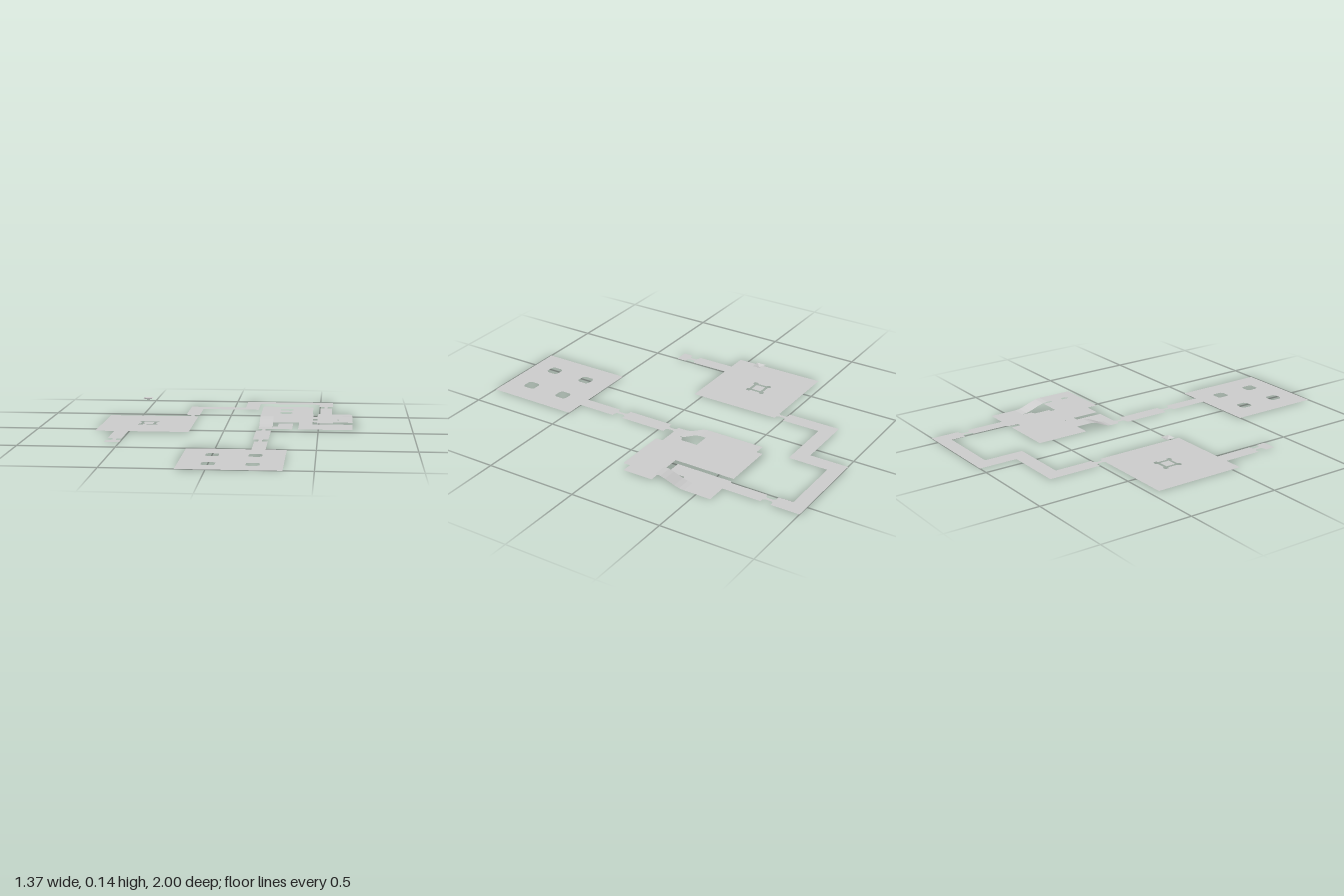
import * as THREE from 'three';

const material = new THREE.MeshStandardMaterial({ color: 0xcccccc, side: THREE.DoubleSide, flatShading: true });

// Outlines are lists of [x, z] points
const toPoints = (pts) => pts.map(([x, z]) => new THREE.Vector2(x, -z));
const rect = (x0, z0, x1, z1) => [[x0, z0], [x1, z0], [x1, z1], [x0, z1]];

// Rectangle with cut corners
function cutRect(cx, cz, w, d, c = 0.012) {
  const a = w / 2, b = d / 2;
  return [[-a + c, -b], [a - c, -b], [a, -b + c], [a, b - c], [a - c, b], [-a + c, b], [-a, b - c], [-a, -b + c]]
    .map(([x, z]) => [cx + x, cz + z]);
}

export function createModel() {
  const model = new THREE.Group();

  const add = (name, geometry) => {
    const mesh = new THREE.Mesh(geometry, material);
    mesh.name = name;
    model.add(mesh);
    return mesh;
  };

  // Flat floor sheet at height y, with optional holes
  const sheet = (name, outline, y = 0, holes = []) => {
    const shape = new THREE.Shape(toPoints(outline));
    holes.forEach((h) => shape.holes.push(new THREE.Path(toPoints(h))));
    const geometry = new THREE.ShapeGeometry(shape);
    geometry.rotateX(-Math.PI / 2).translate(0, y, 0);
    return add(name, geometry);
  };

  // Narrow doorway neck, flared at both ends
  const neck = (name, x, z0, z1) => {
    const n = 0.009, w = 0.019, f = 0.01;
    sheet(name, [[x - w, z0], [x + w, z0], [x + n, z0 + f], [x + n, z1 - f],
      [x + w, z1], [x - w, z1], [x - n, z1 - f], [x - n, z0 + f]]);
  };

  // Front room with four pillar holes
  const pillars = [];
  for (const x of [0, 0.21]) for (const z of [0.65, 0.865]) pillars.push(cutRect(x, z, 0.066, 0.07));
  sheet('frontRoom', rect(-0.145, 0.5, 0.355, 1), 0, pillars);
  sheet('frontCorridor', rect(0.18, 0.29, 0.25, 0.5));
  neck('frontNeck', 0.21, 0.23, 0.29);
  sheet('middleCorridor', rect(0.17, -0.03, 0.25, 0.23));
  neck('middleNeck', 0.21, -0.08, -0.03);

  // Side room with a notched hole, an island in it and a small cap above
  const cx = -0.432, cz = -0.21;
  const notched = [];
  for (let i = 0; i < 4; i++) {
    const c = Math.round(Math.cos(i * Math.PI / 2)), s = Math.round(Math.sin(i * Math.PI / 2));
    for (const [x, z] of [[0.042, 0.025], [0.053, 0.032], [0.053, 0.048], [0.048, 0.053], [0.032, 0.053], [0.025, 0.042]])
      notched.push([cx + c * x - s * z, cz + s * x + c * z]);
  }
  sheet('sideRoom', rect(-0.683, -0.45, -0.183, 0.05), 0, [notched]);
  sheet('island', rect(cx - 0.027, cz - 0.027, cx + 0.027, cz + 0.027));
  const cap = new THREE.ConeGeometry(0.025 * Math.SQRT2, 0.009, 4, 1, true);
  cap.rotateY(Math.PI / 4).rotateX(Math.PI).translate(cx, 0.135, cz);
  add('floatingCap', cap);
  sheet('sideCorridor', rect(-0.58, 0.05, -0.507, 0.26));
  neck('sideNeck', -0.54, 0.26, 0.31);
  sheet('sideLanding', rect(-0.58, 0.31, -0.503, 0.365));

  // Winding back corridor
  neck('backLeftNeck', -0.217, -0.5, -0.45);
  sheet('backCorridor', [[-0.257, -0.5], [-0.257, -0.79], [0.063, -0.79], [0.063, -1], [0.573, -1], [0.573, -0.845],
    [0.493, -0.845], [0.493, -0.925], [0.143, -0.925], [0.143, -0.71], [-0.18, -0.71], [-0.18, -0.5]]);
  neck('backRightNeck', 0.534, -0.845, -0.79);

  // Lower floors of the two-level room
  sheet('lowerBackFloor', [[0.503, -0.79], [0.57, -0.79], [0.57, -0.58], [0.683, -0.58], [0.683, -0.43], [0.603, -0.43],
    [0.6, -0.375], [0.577, -0.365], [0.577, -0.275], [0.49, -0.275], [0.49, -0.58], [0.503, -0.59]]);
  sheet('lowerFrontFloor', [[0.18, -0.08], [0.36, -0.08], [0.36, -0.255], [0.28, -0.255], [0.28, -0.16],
    [0.255, -0.15], [0.255, -0.13], [0.18, -0.13]]);
  sheet('underFloor', [[0.18, -0.58], [0.465, -0.58], [0.465, -0.245], [0.683, -0.245], [0.683, -0.08],
    [0.392, -0.08], [0.392, -0.29], [0.18, -0.29]]);

  // Raised floor with furniture holes
  sheet('upperFloor', [[0.18, -0.58], [0.465, -0.58], [0.465, -0.245], [0.603, -0.245], [0.603, -0.27], [0.683, -0.27],
    [0.683, -0.08], [0.392, -0.08], [0.392, -0.29], [0.253, -0.29], [0.253, -0.26], [0.18, -0.26]], 0.04,
  [cutRect(0.318, -0.48, 0.07, 0.066), cutRect(0.318, -0.373, 0.066, 0.066), cutRect(0.535, -0.16, 0.15, 0.042)]);

  // Ramps that ease from the lower to the raised floor
  const ramp = (name, x0, x1, zLow, zHigh) => {
    const geometry = new THREE.PlaneGeometry(x1 - x0, 1, 1, 6);
    const p = geometry.attributes.position;
    for (let i = 0; i < p.count; i++) {
      const t = p.getY(i) + 0.5;
      p.setXYZ(i, p.getX(i) + (x0 + x1) / 2, 0.04 * t * t * (3 - 2 * t), zLow + (zHigh - zLow) * t);
    }
    geometry.computeVertexNormals();
    add(name, geometry);
  };
  ramp('frontRamp', 0.18, 0.253, -0.13, -0.26);
  ramp('backRamp', 0.603, 0.683, -0.43, -0.27);

  return model;
}
